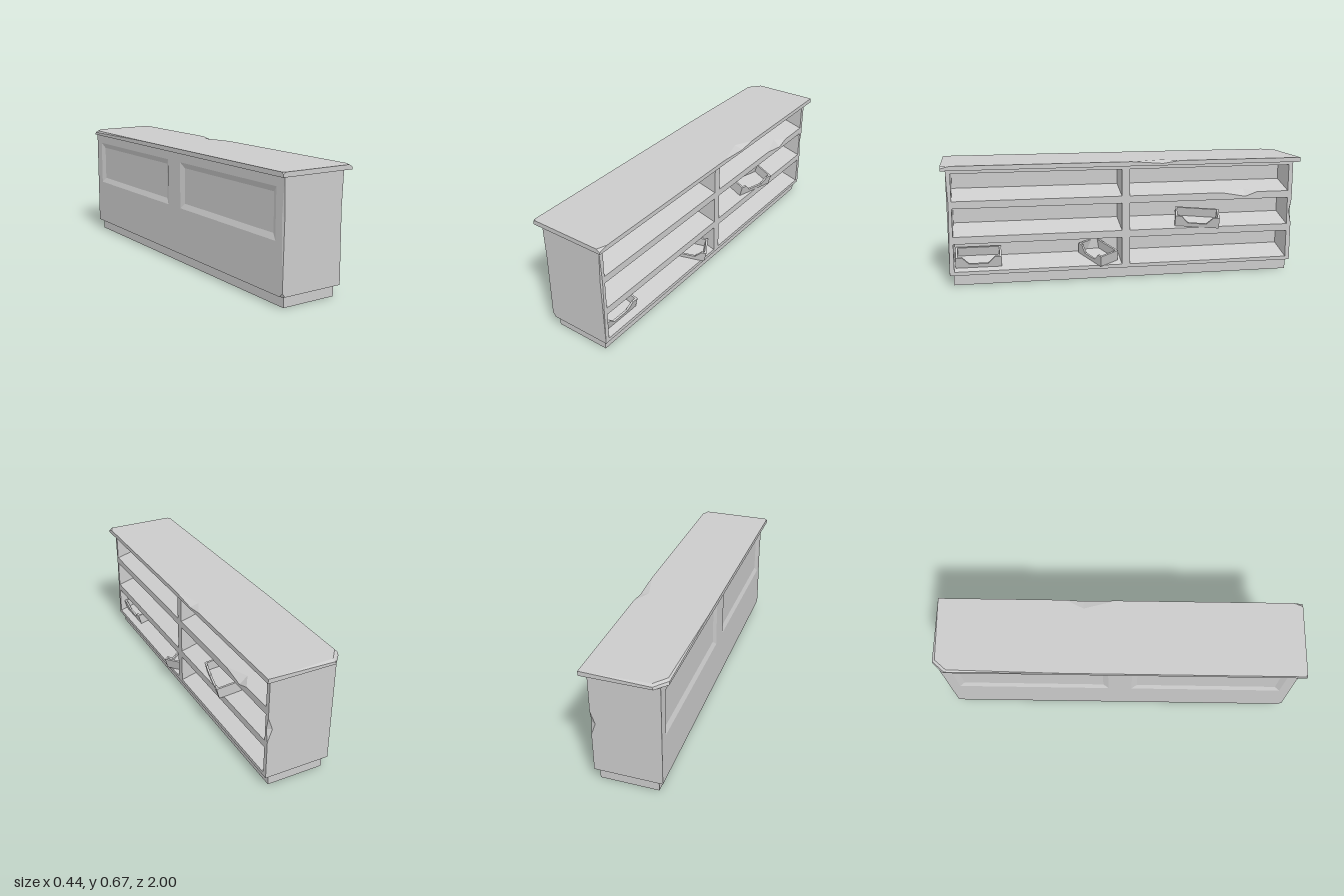
import * as THREE from 'three';
import { ConvexGeometry } from 'three/addons/geometries/ConvexGeometry.js';

const mat = new THREE.MeshStandardMaterial({ color: 0xcccccc, flatShading: true });
const V = (x, y, z) => new THREE.Vector3(x, y, z);
const TILT = 0.262, SLOPE = Math.tan(TILT);
const FRONT = 0.175, REAR = 0.01; // shelf opening and its back wall, along x

export function createModel() {
  const root = new THREE.Group();

  function add(name, geometry, parent = root) {
    const mesh = new THREE.Mesh(geometry, mat);
    mesh.name = name;
    parent.add(mesh);
    return mesh;
  }
  const hull = (name, pts, parent) => add(name, new ConvexGeometry(pts), parent);

  // Box from ranges; chips replace a corner (key such as '101' = max x, min y, max z) by points
  function block(name, [x0, x1], [y0, y1], [z0, z1], chips = {}, parent = root) {
    const pts = [];
    for (const i of [0, 1]) for (const j of [0, 1]) for (const k of [0, 1]) {
      const chip = chips[`${i}${j}${k}`];
      if (chip) pts.push(...chip.map(p => V(...p)));
      else pts.push(V(i ? x1 : x0, j ? y1 : y0, k ? z1 : z0));
    }
    return hull(name, pts, parent);
  }

  // Plinth
  block('plinth', [-0.165, 0.15], [0, 0.06], [-0.955, 0.955]);

  // Counter top, in slices that meet at the dent in its shelf-side edge
  const cx = [-0.22, 0.205], cy = [0.64, 0.665];
  const dent = [[0.155, 0.665, -0.25], [0.205, 0.651, -0.2], [0.205, 0.64, -0.2]];
  block('counterTop', cx, cy, [-1, -0.3], {
    '000': [[-0.22, 0.64, -0.94], [-0.165, 0.64, -1]],
    '010': [[-0.21, 0.665, -0.92], [-0.155, 0.665, -0.985], [-0.22, 0.655, -0.93], [-0.16, 0.655, -1]],
  });
  block('counterTop', cx, cy, [-0.3, -0.2], { '111': [[0.155, 0.665, -0.2], dent[1]] });
  block('counterTop', cx, cy, [-0.2, -0.02], { '110': [[0.155, 0.665, -0.2], dent[1]] });
  block('counterTop', cx, cy, [-0.02, 1], {
    '111': [[0.185, 0.665, 1], [0.205, 0.665, 0.95], [0.205, 0.652, 1]],
    '011': [[-0.205, 0.665, 1], [-0.22, 0.665, 0.99], [-0.22, 0.655, 1]],
  });

  // End panels with worn vertical edges
  const bx = [-0.19, FRONT];
  const wearFront = [[0.168, 0.45, 0.975], [FRONT, 0.45, 0.966]];
  const wearBack = [[-0.185, 0.45, 0.975], [-0.19, 0.45, 0.96]];
  block('endPanel', bx, [0.06, 0.45], [0.95, 0.975], {
    '111': wearFront, '011': wearBack,
    '001': [[-0.174, 0.06, 0.975], [-0.19, 0.082, 0.975], [-0.19, 0.06, 0.955]],
  });
  block('endPanel', bx, [0.45, 0.64], [0.95, 0.975], { '101': wearFront, '001': wearBack });
  const notch = [[0.15, 0.35, -0.97], [FRONT, 0.35, -0.955]];
  block('endPanel', bx, [0.06, 0.28], [-0.97, -0.945]);
  block('endPanel', bx, [0.28, 0.35], [-0.97, -0.945], { '110': notch });
  block('endPanel', bx, [0.35, 0.42], [-0.97, -0.945], { '100': notch });
  block('endPanel', bx, [0.42, 0.64], [-0.97, -0.945]);

  // Core behind the shelves, then the outer panel with two bevelled recesses
  const skinX = -0.178;
  block('core', [skinX, REAR], [0.06, 0.64], [-0.945, 0.95]);
  const rect = (C, z0, z1, y0, y1) =>
    new C([[z0, y0], [z1, y0], [z1, y1], [z0, y1]].map(p => new THREE.Vector2(...p)));
  const skin = rect(THREE.Shape, -0.945, 0.95, 0.06, 0.64);
  for (const [z0, z1] of [[-0.91, -0.06], [0.07, 0.915]]) {
    const y0 = 0.325, y1 = 0.585, b = 0.03;
    skin.holes.push(rect(THREE.Path, z0, z1, y0, y1));
    const outer = [[y0, z0], [y0, z1], [y1, z1], [y1, z0]];
    const inner = [[y0 + b, z0 + b], [y0 + b, z1 - b], [y1 - b, z1 - b], [y1 - b, z0 + b]];
    for (let i = 0; i < 4; i++) {
      const j = (i + 1) % 4;
      hull('recessBevel', [V(-0.19, ...outer[i]), V(-0.19, ...outer[j]), V(skinX, ...outer[i]),
        V(skinX, ...outer[j]), V(skinX, ...inner[i]), V(skinX, ...inner[j])]);
    }
  }
  const skinGeo = new THREE.ExtrudeGeometry(skin, { depth: 0.012, bevelEnabled: false });
  add('backPanel', skinGeo.rotateY(-Math.PI / 2).translate(skinX, 0, 0));

  // Divider, top rail and sloping shelves
  const sx = [REAR, FRONT];
  block('divider', sx, [0.06, 0.64], [-0.02, 0.025]);
  block('topRail', sx, [0.62, 0.64], [-0.945, 0.95]);
  function shelf(y0, y1, zr, chips = {}) {
    const rear = y1 + (FRONT - REAR) * SLOPE;
    block('shelf', sx, [y0, y1], zr, {
      '010': [[REAR, rear, zr[0]]], '011': [[REAR, rear, zr[1]]], ...chips,
    });
  }
  const floors = [[0.06, 0.08], [0.235, 0.275], [0.43, 0.47]];
  floors.forEach(([y0, y1], i) => {
    shelf(y0, y1, [0.025, 0.95]);
    if (i < 2) return shelf(y0, y1, [-0.945, -0.02]);
    // Chipped edge on the upper shelf
    const chip = [[0.13, y1 + 0.045 * SLOPE, -0.69], [FRONT, 0.445, -0.69]];
    shelf(y0, y1, [-0.945, -0.76]);
    shelf(y0, y1, [-0.76, -0.69], { '111': chip });
    shelf(y0, y1, [-0.69, -0.55], { '110': chip });
    shelf(y0, y1, [-0.55, -0.02]);
  });

  // Open bins with a notched front, resting on the sloping shelves
  function bin(x, z, floorY, yaw, w) {
    const g = new THREE.Group(), d = 0.0625, h = 0.062, t = 0.011, a = w / 2;
    g.name = 'bin';
    block('binFloor', [-d, d], [0, t], [-a, a], {}, g);
    block('binBack', [-d, -d + t], [t, h], [-a, a], {}, g);
    block('binSide', [-d + t, d - t], [t, h], [-a, -a + t], {}, g);
    block('binSide', [-d + t, d - t], [t, h], [a - t, a], {}, g);
    const s = new THREE.Shape([[-a, t], [a, t], [a, h], [a * 0.72, h], [a * 0.42, 0.022],
      [-a * 0.42, 0.022], [-a * 0.72, h], [-a, h]].map(p => new THREE.Vector2(...p)));
    const front = new THREE.ExtrudeGeometry(s, { depth: t, bevelEnabled: false });
    add('binFront', front.rotateY(-Math.PI / 2).translate(d, 0, 0), g);
    g.rotation.set(0, yaw, -TILT, 'ZYX');
    g.position.set(x, floorY + (FRONT - x) * SLOPE + 0.001, z);
    root.add(g);
  }
  bin(0.075, 0.818, 0.08, 0, 0.25);
  bin(0.115, -0.42, 0.275, -0.22, 0.25);
  bin(0.078, 0.148, 0.08, -1.02, 0.2);

  return root;
}
